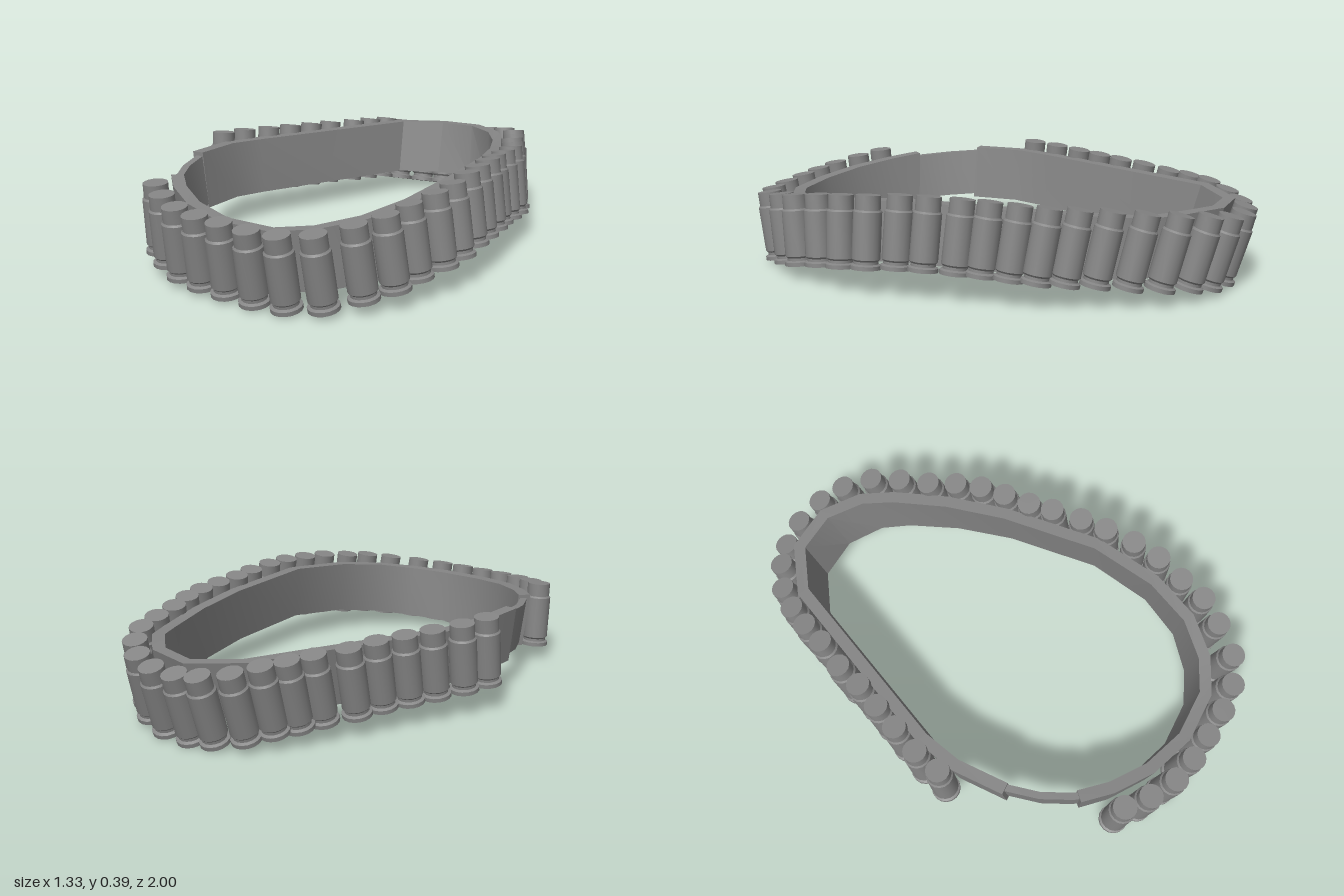
import * as THREE from 'three';
import { toCreasedNormals } from 'three/addons/utils/BufferGeometryUtils.js';

const material = new THREE.MeshStandardMaterial({ color: 0x858585 });

// Piecewise linear lookup in a list of [key, value]
function lookup(table, t) {
  for (let i = 1; i < table.length; i++) {
    const [a, va] = table[i - 1], [b, vb] = table[i];
    if (t <= b) return va + (vb - va) * Math.max(0, (t - a) / (b - a));
  }
  return table[table.length - 1][1];
}

// The loop sags at both ends: height of the cartridge tops along z
const topY = z => lookup([[-1, 0.275], [-0.8, 0.327], [-0.4, 0.355], [0.1, 0.38],
  [0.25, 0.38], [0.5, 0.36], [0.72, 0.33], [0.95, 0.283]], z);

// How far the belt's top edge lies below the cartridge tops
const beltInset = z => lookup([[-0.9, -0.01], [-0.6, 0.035]], z);

// Sideways shift over a full cartridge length, from top to bottom
const DROP = 0.27;
const lean = (x, z) => new THREE.Vector3(
  Math.max(0, 0.07 * x), -DROP,
  lookup([[-0.96, 0.08], [-0.4, 0.05], [0, 0.025], [0.5, 0], [0.95, -0.045]], z));

// Band swept along [x, z] points, running clockwise seen from above
function band(points, thickness, trim) {
  const height = 0.225 - 2 * trim;
  const rings = points.map(([x, z], i) => {
    const p = points[Math.max(0, i - 1)], q = points[Math.min(points.length - 1, i + 1)];
    const tx = q[0] - p[0], tz = q[1] - p[1], k = thickness / 2 / Math.hypot(tx, tz);
    const out = new THREE.Vector3(tz * k, 0, -tx * k);
    const top = new THREE.Vector3(x, topY(z) - beltInset(z) - trim, z);
    const bottom = top.clone().addScaledVector(lean(x, z), height / DROP);
    bottom.x += Math.max(0, -0.05 * x);
    return [top.clone().add(out), top.clone().sub(out), bottom.clone().sub(out), bottom.clone().add(out)];
  });
  const verts = [];
  const quad = (a, b, c, d) => [a, b, c, a, c, d].forEach(v => verts.push(v.x, v.y, v.z));
  for (let i = 0; i < rings.length - 1; i++) {
    for (let k = 0; k < 4; k++) {
      const n = (k + 1) % 4;
      quad(rings[i][k], rings[i][n], rings[i + 1][n], rings[i + 1][k]);
    }
  }
  quad(...[...rings[0]].reverse());
  quad(...rings[rings.length - 1]);
  const geometry = new THREE.BufferGeometry();
  geometry.setAttribute('position', new THREE.Float32BufferAttribute(verts, 3));
  return toCreasedNormals(geometry, 0.5);
}

// Cartridge profile: rim, groove, case, shoulder and neck
function cartridgeGeometry() {
  const profile = [[0, 0], [0.057, 0], [0.057, 0.015], [0.046, 0.02], [0.046, 0.03], [0.053, 0.037],
    [0.053, 0.21], [0.047, 0.217], [0.047, 0.27], [0, 0.27]].map(p => new THREE.Vector2(...p));
  return toCreasedNormals(new THREE.LatheGeometry(profile, 16), 0.6);
}

// Cartridge tops around the loop, [x, z]
const cartridgeTops = [
  [-0.61, 0], [-0.57, -0.11], [-0.51, -0.22], [-0.455, -0.32], [-0.4, -0.42], [-0.355, -0.525],
  [-0.285, -0.635], [-0.24, -0.725], [-0.19, -0.805], [-0.12, -0.88], [-0.02, -0.935], [0.07, -0.955],
  [0.185, -0.95], [0.3, -0.905], [0.385, -0.835], [0.455, -0.735], [0.49, -0.62], [0.515, -0.5],
  [0.55, -0.39], [0.57, -0.285], [0.57, -0.18], [0.565, -0.07], [0.57, 0.03], [0.57, 0.155],
  [0.565, 0.265], [0.555, 0.39], [0.53, 0.505], [0.48, 0.62], [0.44, 0.73], [0.365, 0.82],
  [0.265, 0.915], [0.15, 0.95], [0.035, 0.945], [-0.085, 0.92], [-0.195, 0.895], [-0.3, 0.857],
  [-0.4, 0.785], [-0.48, 0.705],
];

// Belt centre line, from the tab round the back to the front end
const beltPath = [
  [-0.578, 0.26], [-0.56, 0.05], [-0.505, -0.11], [-0.11, -0.79], [0.07, -0.89],
  [0.24, -0.855], [0.36, -0.74], [0.42, -0.62], [0.475, -0.4], [0.505, -0.15], [0.505, 0.25],
  [0.445, 0.52], [0.35, 0.7], [0.22, 0.81], [0.08, 0.86], [-0.12, 0.835], [-0.29, 0.75],
  [-0.42, 0.635], [-0.5, 0.53],
];

// Thin strap joining the two belt ends
const strapPath = [[-0.46, 0.585], [-0.505, 0.51], [-0.55, 0.39], [-0.572, 0.25], [-0.57, 0.2]];

export function createModel() {
  const group = new THREE.Group();
  const add = (name, geometry, parent = group) => {
    const mesh = new THREE.Mesh(geometry, material);
    mesh.name = name;
    parent.add(mesh);
    return mesh;
  };

  add('belt', band(beltPath, 0.048, 0));
  add('strap', band(strapPath, 0.028, 0.015));

  const cartridges = new THREE.Group();
  cartridges.name = 'cartridges';
  group.add(cartridges);
  const geometry = cartridgeGeometry();
  const up = new THREE.Vector3(0, 1, 0);
  for (const [x, z] of cartridgeTops) {
    const down = lean(x, z);
    const mesh = add('cartridge', geometry, cartridges);
    mesh.position.set(x, topY(z), z).add(down);
    mesh.quaternion.setFromUnitVectors(up, down.clone().negate().normalize());
    mesh.scale.y = down.length() / DROP;
  }
  return group;
}
